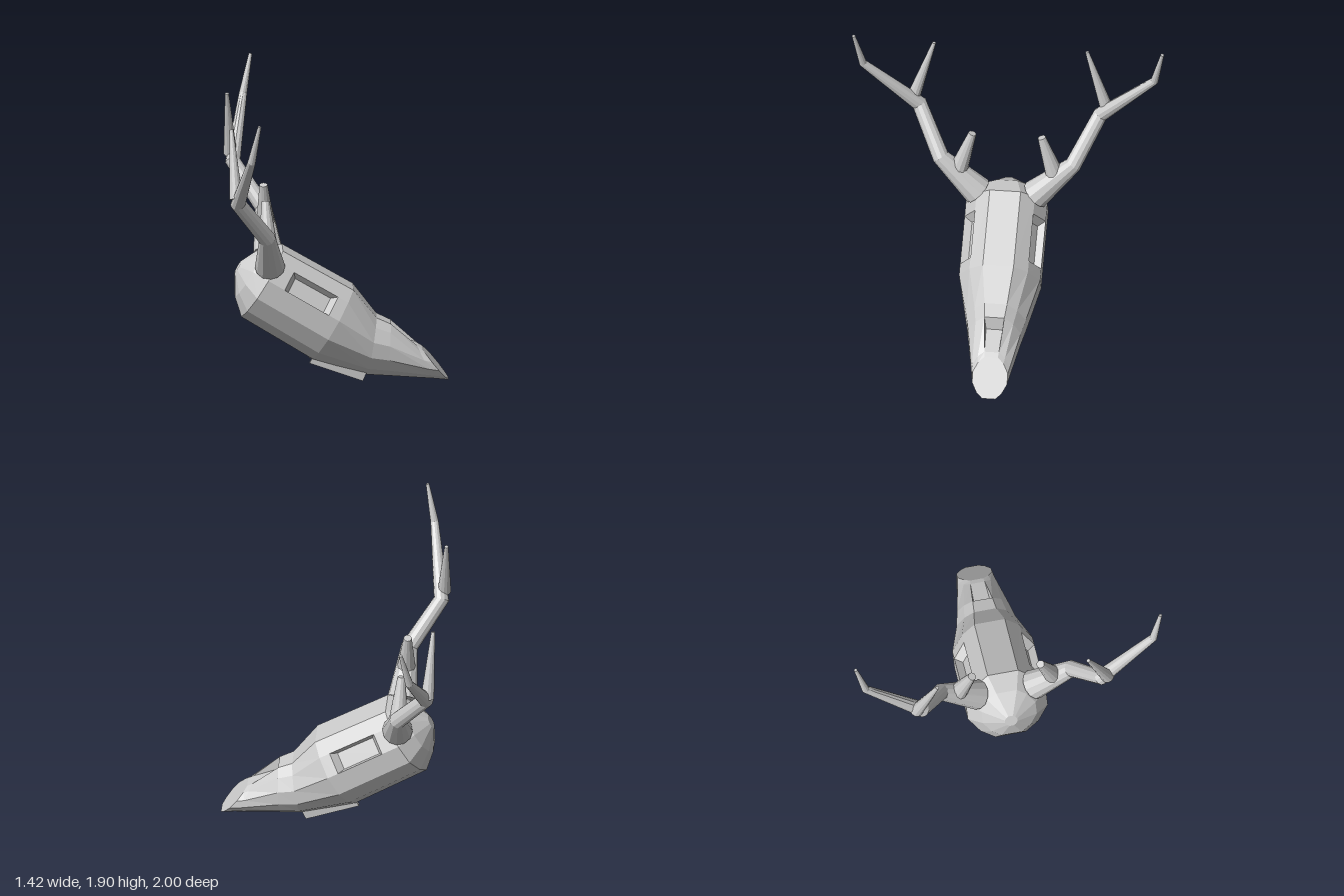
import * as THREE from 'three';

const V = (x, y, z) => new THREE.Vector3(x, y, z);
const material = new THREE.MeshStandardMaterial({ color: 0xcccccc, flatShading: true });

// Collects quads and turns them into a flat-shaded mesh
class Faces {
  constructor() { this.points = []; }
  quad(a, b, c, d) { this.points.push(a, b, c, a, c, d); }
  // Pocket with walls leading from the rim quad to the floor quad
  pocket(rim, floor) {
    rim.forEach((p, i) => {
      const n = (i + 1) % 4;
      this.quad(p, rim[n], floor[n], floor[i]);
    });
    this.quad(...floor);
  }
  cap(ring, flip) {
    for (let j = 1; j < ring.length - 1; j++) {
      if (flip) this.points.push(ring[0], ring[j + 1], ring[j]);
      else this.points.push(ring[0], ring[j], ring[j + 1]);
    }
  }
  mesh(name) {
    const geometry = new THREE.BufferGeometry().setFromPoints(this.points);
    geometry.computeVertexNormals();
    const mesh = new THREE.Mesh(geometry, material);
    mesh.name = name;
    return mesh;
  }
}

// Twelve-sided section: [height, width], each -1..1, starting with the top facet
const half = [[1, 0.38], [0.73, 0.72], [0.27, 1], [-0.27, 1], [-0.73, 0.72], [-1, 0.38]];
const profile = [[1, -0.38], ...half, ...half.slice(1).reverse().map(([h, w]) => [h, -w])];

function skullRing([tx, ty, bx, by, w]) {
  const top = V(tx, ty, 0), bottom = V(bx, by, 0);
  return profile.map(([h, z]) => {
    const p = bottom.clone().lerp(top, (h + 1) / 2);
    p.z = z * w;
    return p;
  });
}

function createSkull() {
  // Top x, y, bottom x, y and half width, from the back of the head to the nose
  const rings = [
    [-0.615, 0.79, -0.655, 0.72, 0.04],
    [-0.477, 0.869, -0.655, 0.572, 0.175],
    [-0.35, 0.88, -0.615, 0.45, 0.26],
    [0.1, 0.62, -0.16, 0.17, 0.26],
    [0.25, 0.43, 0.19, 0.06, 0.19],
    [0.34, 0.388, 0.32, 0.05, 0.168],
    [0.51, 0.24, 0.62, 0.025, 0.122],
    [0.54, 0.222, 0.708, 0.015, 0.112],
  ].map(skullRing);
  const faces = new Faces();
  for (let i = 0; i < rings.length - 1; i++) {
    for (let j = 0; j < 12; j++) {
      const n = (j + 1) % 12;
      const a = rings[i][j], b = rings[i][n], c = rings[i + 1][n], d = rings[i + 1][j];
      if (i === 2 && (j === 2 || j === 10)) {
        // Eye socket
        const a1 = a.clone().lerp(d, 0.23), b1 = b.clone().lerp(c, 0.23);
        const d1 = a.clone().lerp(d, 0.855), c1 = b.clone().lerp(c, 0.855);
        faces.quad(a, b, b1, a1);
        faces.quad(d1, c1, c, d);
        const rim = [a1, b1, c1, d1];
        const centre = a1.clone().add(b1).add(c1).add(d1).multiplyScalar(0.25);
        const inward = d1.clone().sub(a1).cross(b1.clone().sub(a1)).normalize();
        faces.pocket(rim, rim.map(p => p.clone().lerp(centre, 0.2).addScaledVector(inward, 0.05)));
      } else if (i === 5 && j === 0) {
        // Nose opening
        faces.pocket([a, b, c, d], [V(0.35, 0.3, -0.052), V(0.35, 0.3, 0.052), c, d]);
      } else {
        faces.quad(a, b, c, d);
      }
    }
  }
  faces.cap(rings[0], true);
  faces.cap(rings.at(-1), false);
  return faces.mesh('skull');
}

// Tapering branch through points [x, y, z, radius]
function createBranch(name, nodes, side, sides = 12) {
  const points = nodes.map(([x, y, z]) => V(x, y, z * side));
  const rings = points.map((p, i) => {
    const tangent = V(0, 0, 0);
    if (i > 0) tangent.add(p.clone().sub(points[i - 1]).normalize());
    if (i < points.length - 1) tangent.add(points[i + 1].clone().sub(p).normalize());
    tangent.normalize();
    const v = tangent.clone().cross(V(1, 0, 0)).normalize();
    const u = v.clone().cross(tangent);
    return Array.from({ length: sides }, (_, j) => {
      const angle = (j / sides) * Math.PI * 2, r = nodes[i][3];
      return p.clone().addScaledVector(u, Math.cos(angle) * r).addScaledVector(v, Math.sin(angle) * r);
    });
  });
  const faces = new Faces();
  for (let i = 0; i < rings.length - 1; i++) {
    for (let j = 0; j < sides; j++) {
      const n = (j + 1) % sides;
      faces.quad(rings[i][j], rings[i][n], rings[i + 1][n], rings[i + 1][j]);
    }
  }
  faces.cap(rings[0], true);
  faces.cap(rings.at(-1), false);
  return faces.mesh(name);
}

function createAntler(side) {
  const antler = new THREE.Group();
  antler.name = side > 0 ? 'leftAntler' : 'rightAntler';
  antler.add(
    createBranch('antlerBeam', [
      [-0.435, 0.8, 0.183, 0.097], [-0.46, 1.04, 0.425, 0.055], [-0.65, 1.31, 0.58, 0.05],
      [-0.575, 1.665, 0.935, 0.026], [-0.525, 1.915, 0.99, 0.011],
    ], side),
    createBranch('lowerTine', [[-0.45, 0.97, 0.305, 0.058], [-0.465, 1.238, 0.222, 0.026]], side),
    createBranch('upperTine', [[-0.665, 1.35, 0.62, 0.043], [-0.69, 1.775, 0.49, 0.012]], side),
  );
  return antler;
}

// Thin tooth ridge under the jaw
function createToothRow(side) {
  const shape = new THREE.Shape([[-0.14, 0.21], [-0.18, 0.14], [0.16, 0.02], [0.2, 0.11]]
    .map(([x, y]) => new THREE.Vector2(x, y)));
  const geometry = new THREE.ExtrudeGeometry(shape, { depth: 0.025, bevelEnabled: false });
  geometry.translate(0, 0, side * 0.075 - 0.0125);
  const row = new THREE.Mesh(geometry, material);
  row.name = side > 0 ? 'leftToothRow' : 'rightToothRow';
  return row;
}

export function createModel() {
  const model = new THREE.Group();
  model.name = 'antleredSkull';
  model.add(createSkull());
  for (const side of [1, -1]) model.add(createAntler(side), createToothRow(side));
  return model;
}
